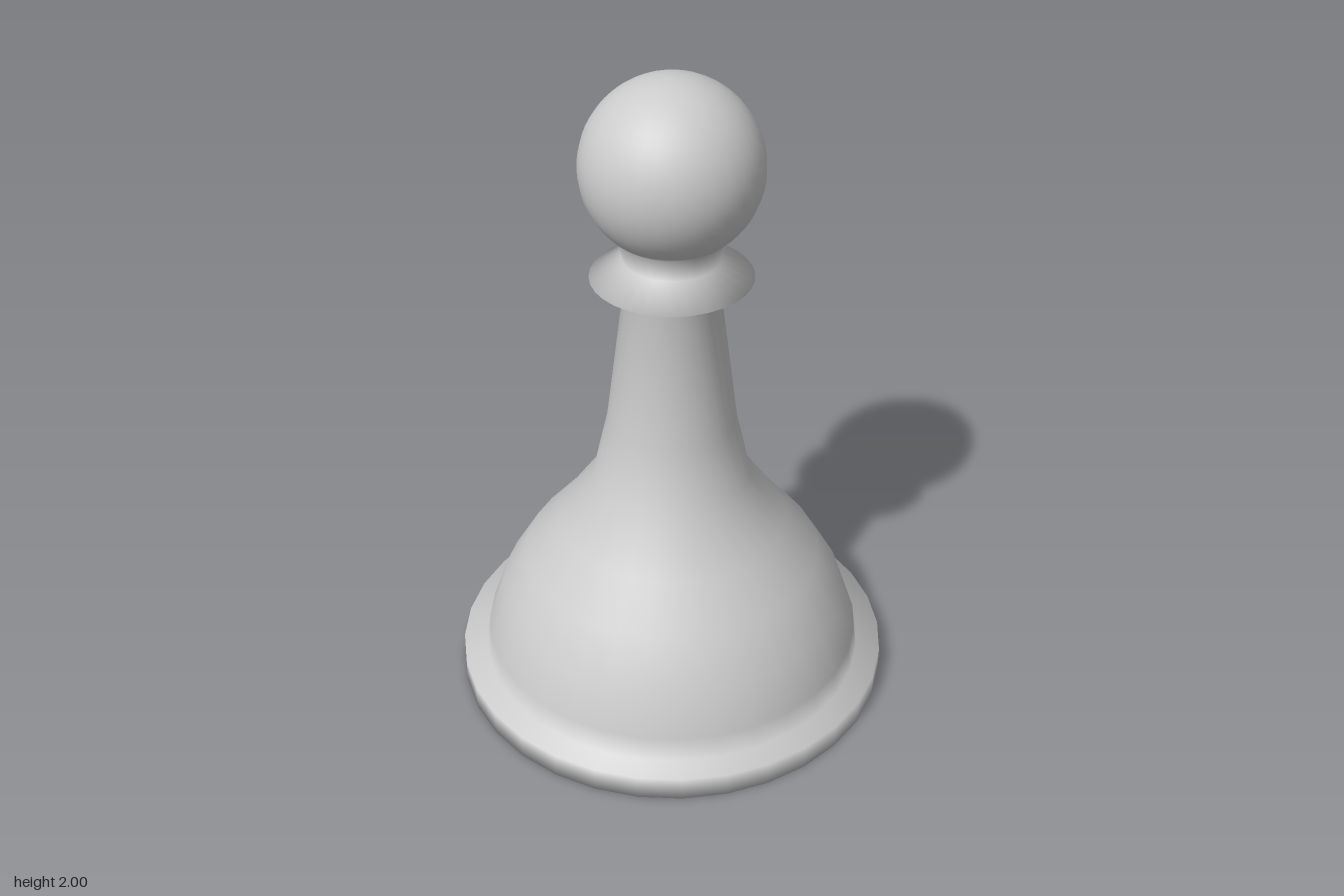
import * as THREE from 'three';

const SIDES = 32;
const HEAD_RADIUS = 0.262;
const HEAD_Y = 2 - HEAD_RADIUS;

export function createModel() {
  const group = new THREE.Group();
  group.name = 'chessPawn';

  // Underside and flat foot
  const foot = [[0, 0], [0.5, 0], [0.675, 0], [0.675, 0.077]];
  // Bell-shaped skirt tapering into the stem
  const skirt = [
    [0.6, 0.08], [0.588, 0.155], [0.54, 0.295], [0.46, 0.43],
    [0.355, 0.555], [0.24, 0.72], [0.196, 0.915], [0.142, 1.34],
  ];
  // Knife-edged collar and short neck
  const collar = [[0.238, 1.4], [0.142, 1.457]];
  const neckRadius = 0.153;

  // Ball head, from the neck up to the pole
  const head = [];
  const start = -Math.acos(neckRadius / HEAD_RADIUS);
  const steps = 24;
  for (let i = 0; i <= steps; i++) {
    const a = start + (Math.PI / 2 - start) * (i / steps);
    head.push([Math.max(0, HEAD_RADIUS * Math.cos(a)), HEAD_Y + HEAD_RADIUS * Math.sin(a)]);
  }

  // One smooth turned piece, softly shaded across every ridge
  const profile = [...foot, ...skirt, ...collar, ...head].map(([r, y]) => new THREE.Vector2(r, y));
  const body = new THREE.Mesh(
    new THREE.LatheGeometry(profile, SIDES),
    new THREE.MeshStandardMaterial({ color: 0xcccccc }),
  );
  body.name = 'turnedBody';
  group.add(body);

  return group;
}
